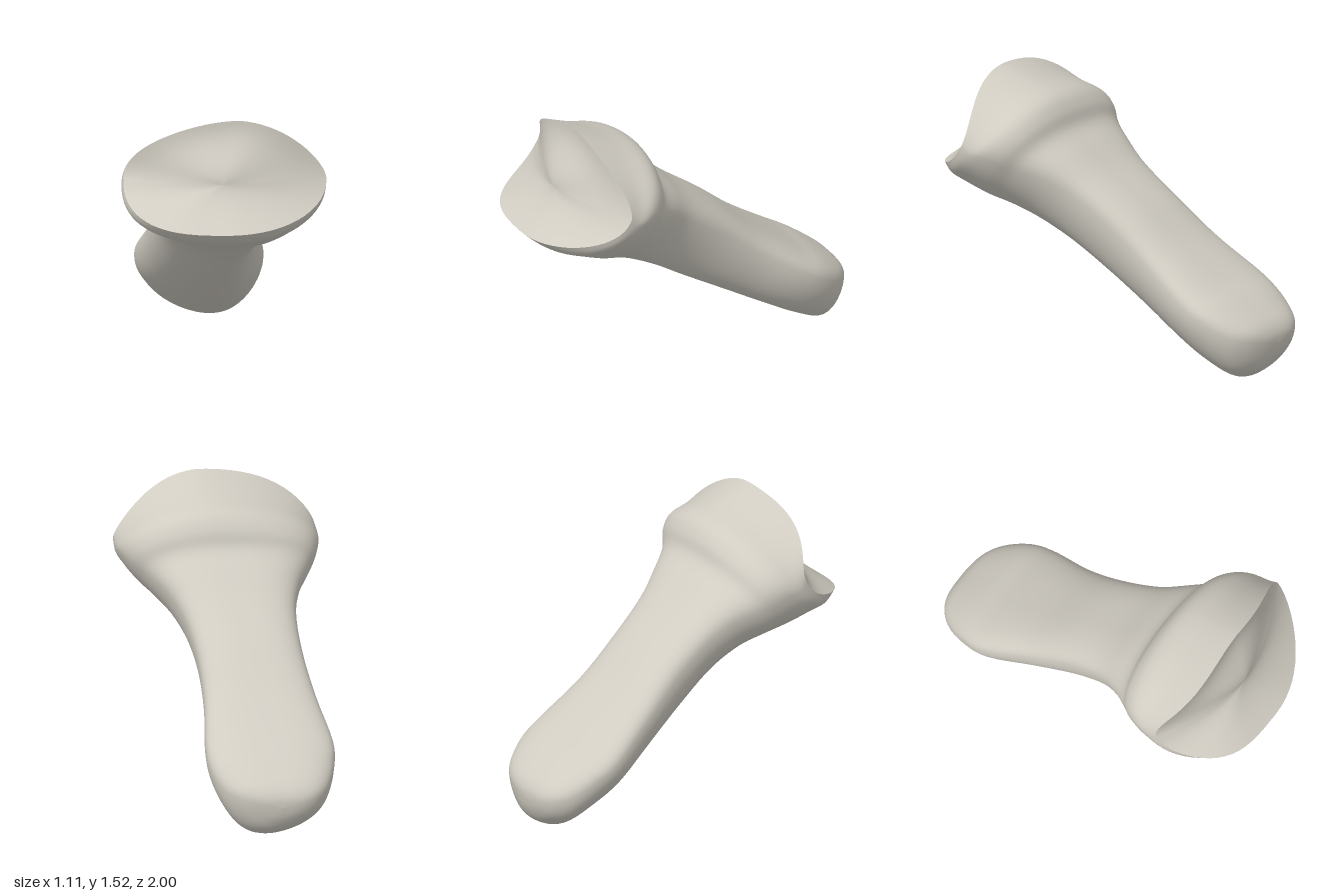
import * as THREE from 'three';

const SEGMENTS = 72;
const { lerp } = THREE.MathUtils;

// Cross-sections from the rounded small end to the rim of the hollow face:
// lower z, lower y, upper z, upper y, min x, max x, backward bow of the sides, shaft (0) to head (1) outline
const STATIONS = [
  [-1.00, 0.20, -1.00, 0.20, -0.18, -0.18, 0, 0],
  [-0.982, 0.125, -0.996, 0.255, -0.29, -0.07, 0, 0],
  [-0.93, 0.045, -0.965, 0.31, -0.375, 0.04, 0, 0],
  [-0.83, 0.001, -0.90, 0.365, -0.44, 0.125, 0, 0],
  [-0.68, 0.065, -0.79, 0.44, -0.485, 0.185, 0, 0],
  [-0.50, 0.165, -0.66, 0.515, -0.497, 0.20, 0, 0],
  [-0.25, 0.31, -0.42, 0.68, -0.435, 0.178, 0, 0],
  [0.00, 0.46, -0.20, 0.86, -0.388, 0.187, 0, 0],
  [0.20, 0.59, 0.02, 1.02, -0.378, 0.235, 0, 0],
  [0.38, 0.69, 0.15, 1.13, -0.415, 0.31, 0, 0.1],
  [0.52, 0.755, 0.25, 1.22, -0.48, 0.40, 0, 0.3],
  [0.66, 0.80, 0.285, 1.32, -0.525, 0.48, 0.02, 0.5],
  [0.80, 0.855, 0.35, 1.40, -0.55, 0.53, 0.06, 0.7],
  [0.92, 0.905, 0.50, 1.455, -0.555, 0.55, 0.14, 0.9],
  [1.00, 0.97, 0.68, 1.525, -0.545, 0.555, 0.24, 1],
];

// One closed cross-section: flat-topped on the shaft, with a peaked crest on the head
function makeRing([lz, ly, uz, uy, minX, maxX, bow, head]) {
  const ring = [];
  const power = (v, e) => Math.sign(v) * Math.abs(v) ** e;
  const widest = lerp(0.68, 0.47, head);
  const width = maxX - minX;
  for (let j = 0; j < SEGMENTS; j++) {
    const a = (j / SEGMENTS) * Math.PI * 2;
    const left = Math.cos(a) < 0, upper = Math.sin(a) >= 0;
    const e = upper
      ? (left ? lerp(0.75, 1.1, head) : lerp(0.7, 1.25, head))
      : (left ? lerp(1.05, 0.75, head) : lerp(1, 0.9, head));
    const c = power(Math.cos(a), e);
    const s = power(Math.sin(a), e);
    const shift = (upper ? 0.07 * head : 0.1 * (1 - head)) * width;
    const x = (minX + maxX) / 2 + (c * width) / 2 + shift * Math.abs(s) * (1 - c * c);
    const t = widest + s * (upper ? 1 - widest : widest);
    const back = bow * Math.abs(c) ** (left ? 4 : 2);
    ring.push(new THREE.Vector3(x, ly + (uy - ly) * t - back * 0.2, lz + (uz - lz) * t - back));
  }
  return ring;
}

// Smooth interpolation between the stations
function sampleStation(u) {
  const last = STATIONS.length - 1;
  const i = Math.min(Math.floor(u), last - 1);
  const f = u - i;
  const at = (k) => STATIONS[Math.max(0, Math.min(last, k))];
  return at(i).map((p1, k) => {
    const p0 = at(i - 1)[k], p2 = at(i + 1)[k], p3 = at(i + 2)[k];
    return p1 + 0.5 * f * (p2 - p0 + f * (2 * p0 - 5 * p1 + 4 * p2 - p3 + f * (3 * (p1 - p2) + p3 - p0)));
  });
}

// Skin a list of rings
function skin(rings) {
  const index = [];
  for (let i = 0; i < rings.length - 1; i++) {
    for (let j = 0; j < SEGMENTS; j++) {
      const k = (j + 1) % SEGMENTS;
      const a = i * SEGMENTS + j, b = i * SEGMENTS + k;
      const c = a + SEGMENTS, d = b + SEGMENTS;
      index.push(a, b, c, b, d, c);
    }
  }
  const geometry = new THREE.BufferGeometry().setFromPoints(rings.flat());
  geometry.setIndex(index);
  geometry.computeVertexNormals();
  return geometry;
}

export function createModel() {
  const group = new THREE.Group();
  group.name = 'bone';
  const material = new THREE.MeshStandardMaterial({ color: 0xd0ccc2 });
  material.name = 'warm grey';

  // Shaft with the rounded end and the flared head
  const bodyRings = [];
  const steps = (STATIONS.length - 1) * 5;
  for (let i = 0; i <= steps; i++) bodyRings.push(makeRing(sampleStation(i / 5)));
  const body = new THREE.Mesh(skin(bodyRings), material);
  body.name = 'shaft';
  group.add(body);

  // Saddle-shaped hollow face closing the head
  const rim = bodyRings[steps];
  const centre = new THREE.Vector3(0, 1.2, 0.8);
  const faceRings = [];
  for (let i = 0; i <= 16; i++) {
    const s = 1 - i / 16;
    faceRings.push(rim.map((p) => {
      const q = centre.clone().lerp(p, s);
      const up = Math.max(0, (p.y - centre.y) / 0.325);
      q.z = centre.z + (p.z - centre.z) * s ** 1.6 - 0.06 * up * Math.sin(Math.PI * s) * s;
      return q;
    }));
  }
  const face = new THREE.Mesh(skin(faceRings), material);
  face.name = 'jointFace';
  group.add(face);

  return group;
}
